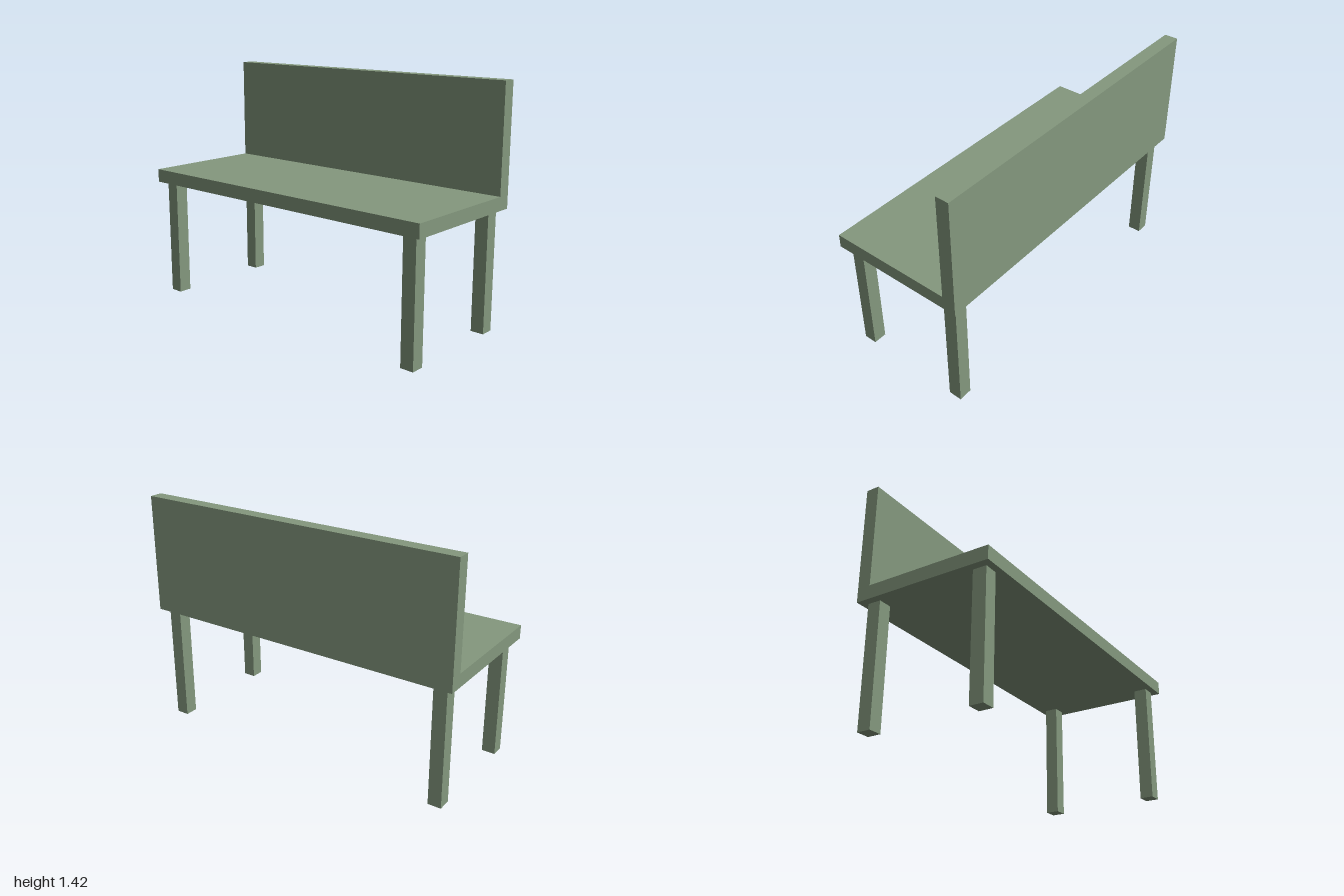
import * as THREE from 'three';

const WIDTH = 2, DEPTH = 0.83, HEIGHT = 1.42;
const SEAT_BOTTOM = 0.713, THICKNESS = 0.08;

export function createModel() {
  const bench = new THREE.Group();
  bench.name = 'bench';
  const material = new THREE.MeshStandardMaterial({ color: 0x84987e, flatShading: true });

  // Seat and backrest: one L-shaped side profile (z, y) run along the bench's width
  const front = DEPTH / 2, back = -DEPTH / 2, seatTop = SEAT_BOTTOM + THICKNESS;
  const profile = new THREE.Shape([
    [back, SEAT_BOTTOM], [front, SEAT_BOTTOM], [front, seatTop],
    [back + THICKNESS, seatTop], [back + THICKNESS, HEIGHT], [back, HEIGHT],
  ].map(([z, y]) => new THREE.Vector2(z, y)));
  const bodyGeometry = new THREE.ExtrudeGeometry(profile, { depth: WIDTH, bevelEnabled: false });
  bodyGeometry.translate(0, 0, -WIDTH / 2).rotateY(-Math.PI / 2);
  const body = new THREE.Mesh(bodyGeometry, material);
  body.name = 'seatAndBackrest';
  bench.add(body);

  // Four square legs, set in from the corners
  const legGeometry = new THREE.BoxGeometry(THICKNESS, SEAT_BOTTOM, THICKNESS);
  for (const [sideName, sx] of [['Left', 1], ['Right', -1]]) {
    for (const [endName, sz] of [['front', 1], ['back', -1]]) {
      const leg = new THREE.Mesh(legGeometry, material);
      leg.name = `${endName}${sideName}Leg`;
      leg.position.set(sx * 0.915, SEAT_BOTTOM / 2, sz * 0.335);
      bench.add(leg);
    }
  }
  return bench;
}
